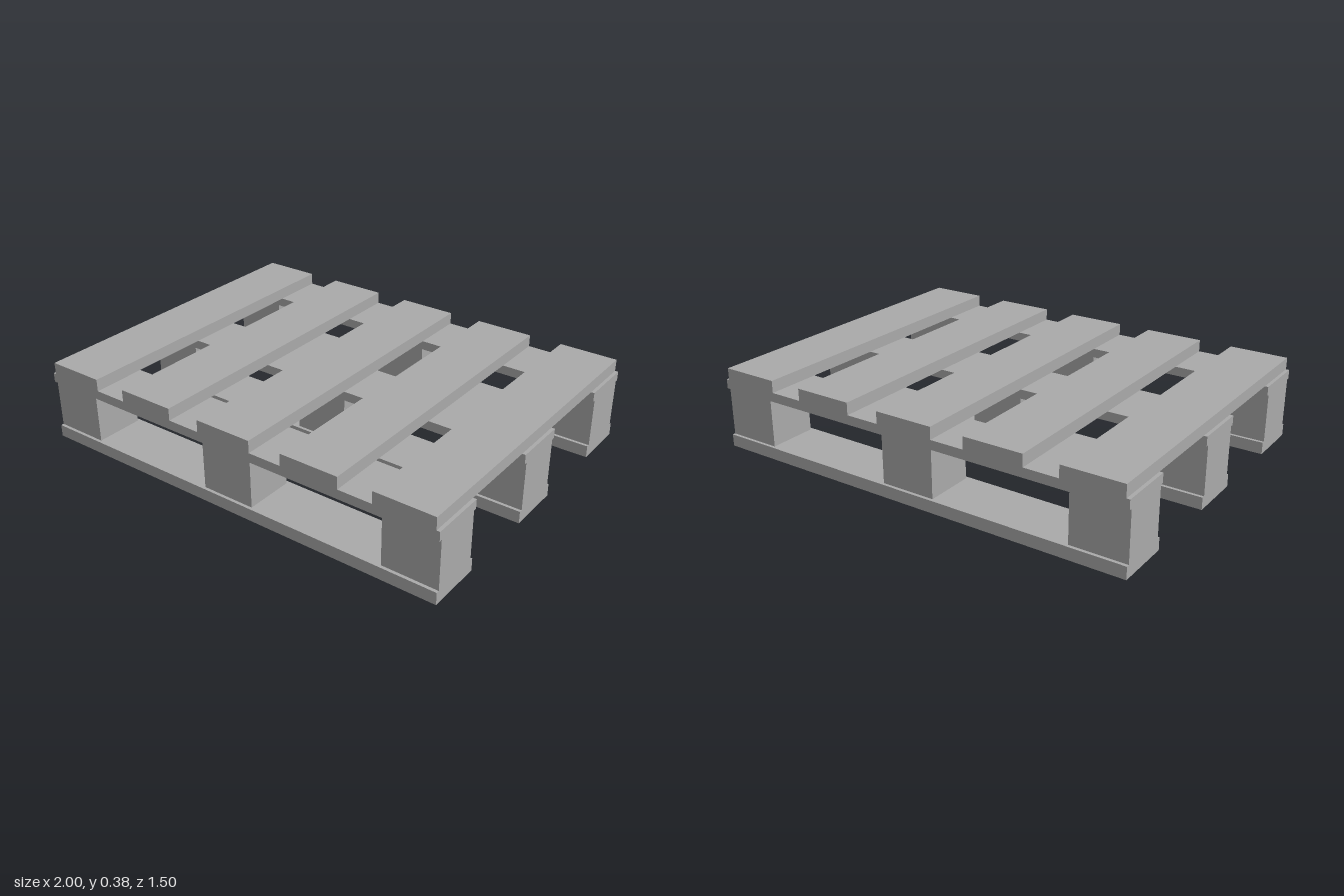
import * as THREE from 'three';

const wood = new THREE.MeshStandardMaterial({ color: 0xaaaaaa, side: THREE.DoubleSide });
wood.name = 'plain grey wood';

// Box standing on height y0 and reaching y1
function slab(name, width, y0, y1, depth, x, z) {
  const mesh = new THREE.Mesh(new THREE.BoxGeometry(width, y1 - y0, depth), wood);
  mesh.name = name;
  mesh.position.set(x, (y0 + y1) / 2, z);
  return mesh;
}

// Remove the underside of a box (fourth face, six indices per face)
function openBottom(mesh) {
  const g = mesh.geometry;
  const index = Array.from(g.index.array);
  index.splice(18, 6);
  g.setIndex(index);
  g.clearGroups();
  return mesh;
}

export function createModel() {
  const pallet = new THREE.Group();
  pallet.name = 'pallet';

  for (const row of [-1, 0, 1]) {
    const z = row * 0.625;
    // Hollow bottom runner and the stringer above it
    pallet.add(openBottom(slab('bottomRunner', 2, 0, 0.055, 0.25, 0, z)));
    pallet.add(slab('stringer', 2, 0.278, 0.32, 0.25, 0, z));
    // Three spacer blocks between them
    for (const col of [-1, 0, 1]) {
      pallet.add(slab('spacerBlock', 0.25, 0.055, 0.278, 0.222, col * 0.875, z));
    }
  }

  // Five deck boards running front to back
  for (let i = -2; i <= 2; i++) {
    pallet.add(slab('deckBoard', 0.27, 0.32, 0.375, 1.5, i * 0.425, 0));
  }
  return pallet;
}
